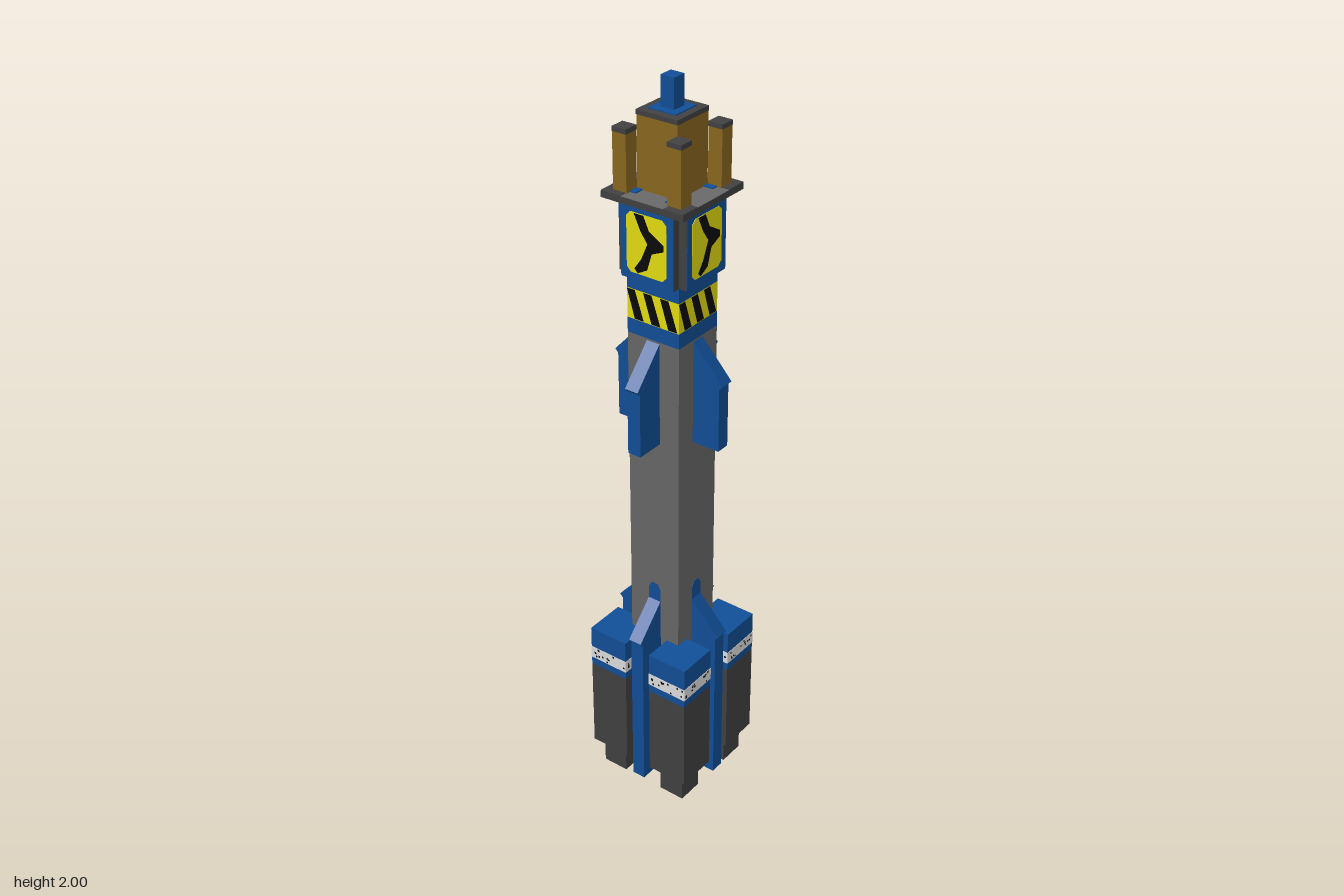
import * as THREE from 'three';
import { mergeGeometries } from 'three/addons/utils/BufferGeometryUtils.js';

const mat = (name, color) => {
  const m = new THREE.MeshStandardMaterial({ color });
  m.name = name;
  return m;
};

export function createModel() {
  const blue = mat('blue', 0x114f98);
  const grey = mat('hull grey', 0x696969);
  const dark = mat('dark grey', 0x424242);
  const amber = mat('amber', 0x8c6820);
  const yellow = mat('yellow', 0xe8e010);
  const black = mat('black', 0x0a0a0a);
  const white = mat('white', 0xe0e0e0);

  const root = new THREE.Group();
  root.name = 'rocket';

  const add = (parent, name, geometry, material) => {
    const mesh = new THREE.Mesh(geometry, material);
    mesh.name = name;
    parent.add(mesh);
    return mesh;
  };
  // Box given by centre x/z, full widths and the y range
  const box = (parent, name, material, w, d, y0, y1, x = 0, z = 0) => {
    const mesh = add(parent, name, new THREE.BoxGeometry(w, y1 - y0, d), material);
    mesh.position.set(x, (y0 + y1) / 2, z);
    return mesh;
  };
  // Thin plate cut from a list of [x, y] points, standing at depth z
  const plate = (parent, name, material, pts, z, depth = 0.001) => {
    const shape = new THREE.Shape(pts.map(([x, y]) => new THREE.Vector2(x, y)));
    const geo = new THREE.ExtrudeGeometry(shape, { depth, bevelEnabled: false });
    return add(parent, name, geo.translate(0, 0, z), material);
  };

  // Square hull, bottom to neck
  box(root, 'hullBase', blue, 0.154, 0.154, 0.08, 0.335);
  box(root, 'hull', grey, 0.154, 0.154, 0.335, 1.36);
  box(root, 'lowerCollar', blue, 0.154, 0.154, 1.36, 1.40);
  box(root, 'hazardBand', yellow, 0.154, 0.154, 1.40, 1.48);
  box(root, 'upperCollar', blue, 0.154, 0.154, 1.48, 1.72);

  // Flange, central tower and tip
  box(root, 'flange', grey, 0.234, 0.234, 1.714, 1.73);
  box(root, 'tower', amber, 0.116, 0.116, 1.73, 1.91);
  box(root, 'towerCap', dark, 0.118, 0.118, 1.91, 1.922);
  box(root, 'tipPad', blue, 0.078, 0.078, 1.922, 1.925);
  box(root, 'tip', blue, 0.038, 0.038, 1.922, 2.0);

  // Fin outline from the hull centre outwards
  const fin = (parent, name, inner, y0, shoulder, top) => {
    const mesh = plate(parent, name, blue, [
      [inner, y0], [0.155, y0], [0.155, shoulder - 0.01],
      [0.164, shoulder], [0.077, top], [inner, top],
    ], -0.019, 0.038);
    mesh.rotation.y = -Math.PI / 2;
  };

  // Everything repeated on the four sides
  for (let i = 0; i < 4; i++) {
    const side = new THREE.Group();
    side.name = `side${i + 1}`;
    side.rotation.y = i * Math.PI / 2;
    root.add(side);

    fin(side, 'lowerFin', 0, 0.03, 0.50, 0.59);
    fin(side, 'upperFin', 0.07, 1.075, 1.26, 1.355);
    plate(side, 'finTipPaint', blue,
      [[-0.019, 0.57], [0.019, 0.57], [0.019, 0.625], [0.009, 0.642], [-0.009, 0.642], [-0.019, 0.625]], 0.077);

    // Diagonal hazard stripes on the band
    for (let k = 0; k < 3; k++) {
      const x = -0.042 + k * 0.05;
      plate(side, 'hazardStripe', black, [
        [x - 0.008, 1.402], [x + 0.018, 1.402], [x - 0.008, 1.478], [x - 0.032, 1.478],
      ].map(([a, b]) => [THREE.MathUtils.clamp(-(a - 0.5 * 0.016) * 1 - 0.004, -0.077, 0.077) * -1, b])
        .map(([a, b]) => [a, b]), 0.077);
    }

    // Warning panel slab with dark edges and a blue face
    box(side, 'panelSlab', dark, 0.154, 0.024, 1.52, 1.715, 0, 0.086);
    box(side, 'panelFace', blue, 0.152, 0.002, 1.52, 1.715, 0, 0.0985);
    const c = 0.012;
    plate(side, 'warningPanel', yellow, [
      [-0.058 + c, 1.538], [0.058 - c, 1.538], [0.058, 1.538 + c], [0.058, 1.692 - c],
      [0.058 - c, 1.692], [-0.058 + c, 1.692], [-0.058, 1.692 - c], [-0.058, 1.538 + c],
    ], 0.0995);
    plate(side, 'warningArrow', black, [
      [-0.035, 1.69], [-0.008, 1.69], [0.008, 1.655], [0.05, 1.63], [0.05, 1.615],
      [0.016, 1.60], [0.002, 1.555], [-0.025, 1.54], [-0.035, 1.55],
      [-0.014, 1.58], [0.004, 1.622], [-0.016, 1.65],
    ], 0.1005);

    // Flange rim in dark grey
    box(side, 'flangeRim', dark, 0.236, 0.002, 1.714, 1.73, 0, 0.117);

    // Corner post on the flange
    box(side, 'flangeCorner', dark, 0.055, 0.055, 1.729, 1.732, 0.09, 0.09);
    box(side, 'cornerPaint', blue, 0.042, 0.042, 1.729, 1.733, 0.063, 0.063);
    box(side, 'cornerPost', amber, 0.039, 0.039, 1.73, 1.873, 0.078, 0.078);
    box(side, 'postCap', dark, 0.040, 0.040, 1.873, 1.885, 0.078, 0.078);

    // Booster at the corner
    const b = new THREE.Group();
    b.name = 'booster';
    b.position.set(0.0975, 0, 0.0975);
    side.add(b);
    box(b, 'boosterCase', dark, 0.116, 0.116, 0.08, 0.35);
    box(b, 'boosterTop', blue, 0.116, 0.116, 0.35, 0.47);
    box(b, 'boosterBand', white, 0.118, 0.118, 0.373, 0.409);
    box(b, 'nozzleNeck', black, 0.042, 0.042, 0.055, 0.085);
    box(b, 'nozzle', dark, 0.074, 0.074, 0.001, 0.06);
    box(b, 'nozzleOpening', black, 0.060, 0.060, 0, 0.002);
    b.add(new THREE.Mesh(specks(i + 1), black));
    b.children[b.children.length - 1].name = 'bandSpecks';
  }
  return root;
}

// Small dark specks scattered over the four faces of a booster band
function specks(seed) {
  let s = seed * 7919;
  const rand = () => (s = (s * 16807) % 2147483647) / 2147483647;
  const parts = [];
  for (let f = 0; f < 4; f++) {
    for (let k = 0; k < 12; k++) {
      const g = new THREE.BoxGeometry(0.005, 0.005, 0.001);
      g.translate((rand() - 0.5) * 0.108, 0.377 + rand() * 0.028, 0.059);
      parts.push(g.rotateY(f * Math.PI / 2));
    }
  }
  return mergeGeometries(parts);
}
